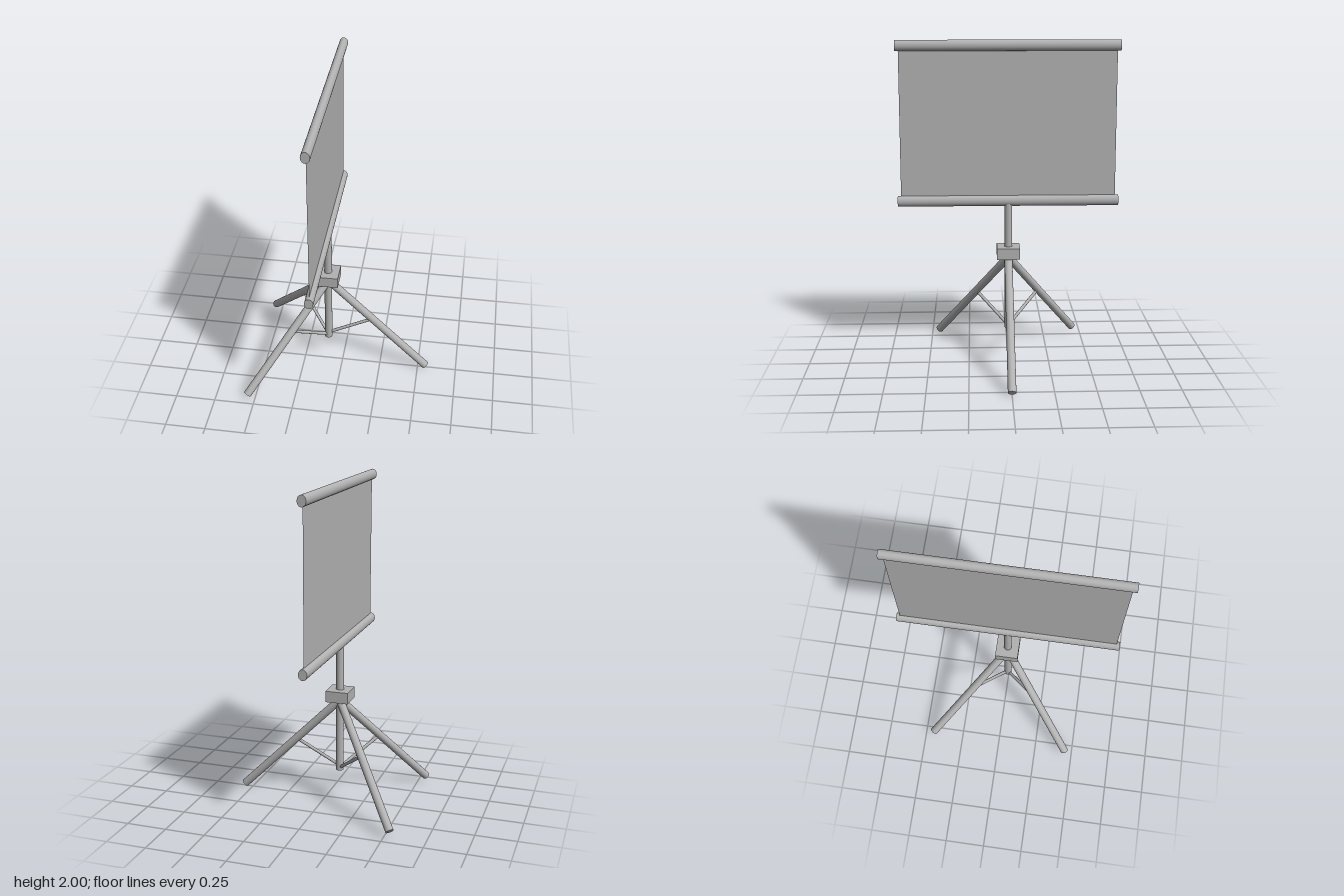
import * as THREE from 'three';

export function createModel() {
  const model = new THREE.Group();
  model.name = 'projectionScreen';

  const grey = new THREE.MeshStandardMaterial({ color: 0xb2b2b2, side: THREE.DoubleSide });
  grey.name = 'grey';

  const axisX = -0.092; // x of the post and screen
  const add = (name, geometry, x = 0, y = 0, z = 0) => {
    const mesh = new THREE.Mesh(geometry, grey);
    mesh.name = name;
    mesh.position.set(x, y, z);
    model.add(mesh);
    return mesh;
  };

  // Round rod between two points
  const rod = (name, from, to, radius) => {
    const a = new THREE.Vector3(...from);
    const b = new THREE.Vector3(...to);
    const dir = b.clone().sub(a);
    const mesh = add(name, new THREE.CylinderGeometry(radius, radius, dir.length(), 24));
    mesh.position.copy(a).add(b).multiplyScalar(0.5);
    mesh.quaternion.setFromUnitVectors(new THREE.Vector3(0, 1, 0), dir.normalize());
  };

  // Centre post and collar block
  rod('post', [axisX, 0.197, 0], [axisX, 1.0, 0], 0.024);
  add('collar', new THREE.BoxGeometry(0.142, 0.07, 0.142), axisX, 0.692, 0);

  // Oval rollers above and below the sheet
  for (const [name, y] of [['topRoller', 1.967], ['bottomRoller', 1.017]]) {
    const geometry = new THREE.CylinderGeometry(1, 1, 1.36, 32);
    geometry.rotateX(Math.PI / 2).scale(0.026, 0.033, 1);
    add(name, geometry, axisX, y, 0);
  }

  // Thin sheet facing sideways
  const sheet = new THREE.PlaneGeometry(1.32, 0.95).rotateY(Math.PI / 2);
  add('sheet', sheet, axisX, 1.492, 0);

  // Three splayed legs, each braced to the foot of the post
  const feet = [
    ['left', [0.55, 0.018, 0], 0.225],
    ['rightFront', [-0.547, 0.032, 0.451], 0.21],
    ['rightBack', [-0.537, 0.044, -0.445], 0.21],
  ];
  const hip = [axisX, 0.657, 0];
  for (const [side, foot, braceY] of feet) {
    rod(side + 'Leg', hip, foot, 0.025);
    const joint = hip.map((v, i) => v + (foot[i] - v) * 0.445);
    rod(side + 'Brace', [axisX, braceY, 0], joint, 0.01);
  }

  return model;
}
